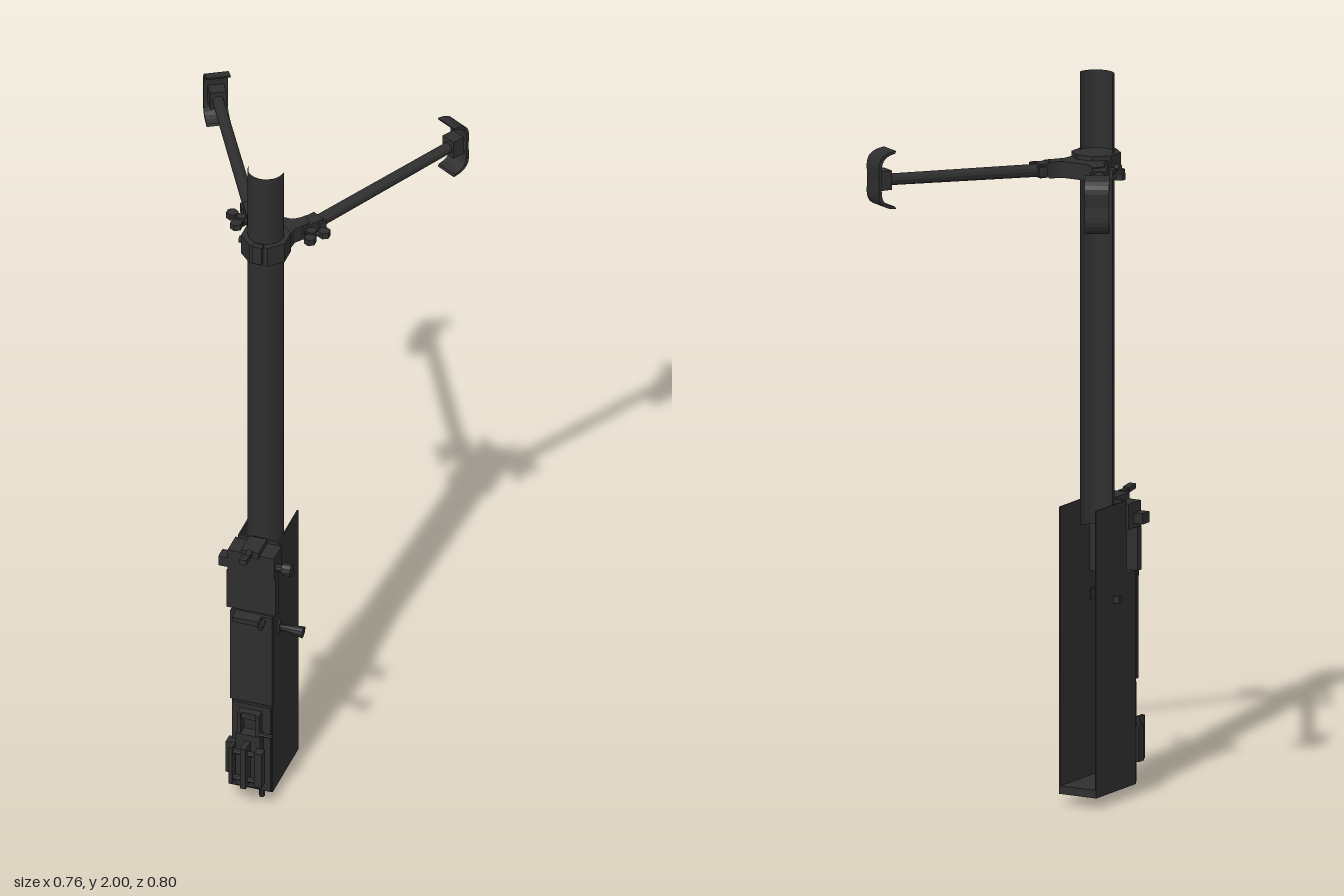
import * as THREE from 'three';

export function createModel() {
  const root = new THREE.Group();
  const dark = new THREE.MeshStandardMaterial({ color: 0x2e2e2e, flatShading: true });
  dark.name = 'dark gunmetal';
  const smooth = new THREE.MeshStandardMaterial({ color: 0x2e2e2e, side: THREE.DoubleSide });
  smooth.name = 'dark tube metal';

  const add = (name, geo, parent = root, mat = dark) => {
    const m = new THREE.Mesh(geo, mat);
    m.name = name;
    parent.add(m);
    return m;
  };
  // Box given by its limits on each axis
  const box = (name, x0, x1, y0, y1, z0, z1, parent = root) => {
    const m = add(name, new THREE.BoxGeometry(x1 - x0, y1 - y0, z1 - z0), parent);
    m.position.set((x0 + x1) / 2, (y0 + y1) / 2, (z0 + z1) / 2);
    return m;
  };
  // Rod between two points, r0 at the start and r1 at the end
  const rod = (name, a, b, r0, r1 = r0, sides = 8, parent = root) => {
    const A = new THREE.Vector3(...a), B = new THREE.Vector3(...b);
    const m = add(name, new THREE.CylinderGeometry(r1, r0, A.distanceTo(B), sides), parent);
    m.position.copy(A).lerp(B, 0.5);
    m.quaternion.setFromUnitVectors(new THREE.Vector3(0, 1, 0), B.sub(A).normalize());
    return m;
  };
  const shapeOf = (pts) => new THREE.Shape(pts.map((p) => new THREE.Vector2(...p)));

  // Half-round tube, open to the back
  const tube = add('halfTube', new THREE.CylinderGeometry(0.05, 0.05, 1.25, 20, 1, true, -Math.PI / 2, Math.PI), root, smooth);
  tube.position.set(0, 1.375, 0.2);

  // Channel body: notched side plates, stepped front wall, floor
  const side = shapeOf([[0.104, 0.03], [0.315, 0.03], [0.315, 0.62], [0.265, 0.62], [0.265, 0.82], [0.104, 0.82]]);
  for (const s of [-1, 1]) {
    const g = new THREE.ExtrudeGeometry(side, { depth: 0.004, bevelEnabled: false });
    g.translate(0, 0, -0.002).rotateY(-Math.PI / 2);
    add('sidePlate', g).position.x = s * 0.056;
  }
  box('frontWall', -0.055, 0.055, 0.03, 0.62, 0.308, 0.315);
  box('upperFrontWall', -0.055, 0.055, 0.62, 0.82, 0.257, 0.264);
  box('notchLedge', -0.055, 0.055, 0.614, 0.62, 0.26, 0.312);
  box('floorPlate', -0.055, 0.055, 0.045, 0.052, 0.106, 0.31);
  box('floorRim', -0.055, 0.055, 0.03, 0.052, 0.104, 0.109);

  // Front cover and its top block
  box('frontCover', -0.06, 0.06, 0.32, 0.61, 0.312, 0.324);
  box('upperCover', -0.07, 0.07, 0.62, 0.74, 0.302, 0.324);
  box('topBlock', -0.066, 0.066, 0.74, 0.81, 0.262, 0.326);
  box('coverRib', -0.045, 0.03, 0.595, 0.61, 0.32, 0.352);
  rod('catchPin', [0.035, 0.6, 0.31], [0.035, 0.59, 0.352], 0.008);

  // Top latch
  box('latchBase', -0.025, 0.025, 0.805, 0.825, 0.265, 0.335);
  box('latchArm', -0.008, 0.008, 0.815, 0.828, 0.33, 0.365);
  box('latchTip', -0.01, 0.01, 0.82, 0.834, 0.36, 0.395).rotation.x = -0.15;

  // Side knobs and cone handle
  rod('leftKnobStem', [0.06, 0.77, 0.307], [0.09, 0.77, 0.307], 0.01);
  rod('leftKnob', [0.085, 0.77, 0.307], [0.11, 0.77, 0.307], 0.019, 0.019, 10);
  box('rightKnob', -0.093, -0.064, 0.752, 0.782, 0.29, 0.325);
  rod('coneHandle', [0.055, 0.55, 0.272], [0.13, 0.545, 0.27], 0.007, 0.017, 10);
  box('handleBoss', 0.05, 0.066, 0.535, 0.565, 0.26, 0.285);
  box('sideStud', -0.075, -0.055, 0.55, 0.57, 0.195, 0.21);

  // Lower front mechanism
  box('lowerMount', -0.055, 0.055, 0.035, 0.31, 0.313, 0.322);
  box('mechanismBlock', -0.035, 0.035, 0.06, 0.23, 0.318, 0.352);
  for (const s of [-1, 1]) box('mechanismRail', s * 0.026 - 0.005, s * 0.026 + 0.005, 0.07, 0.295, 0.318, 0.35);
  box('railBridge', -0.03, 0.03, 0.275, 0.295, 0.318, 0.343);
  box('centrePost', -0.008, 0.008, 0.08, 0.21, 0.35, 0.392);
  box('sidePad', -0.065, -0.035, 0.09, 0.19, 0.316, 0.345);
  for (const y of [0.1, 0.185]) rod('crossPin', [-0.035, y, 0.373], [0.05, y, 0.373], 0.008);
  box('crossGrip', 0.03, 0.052, 0.09, 0.2, 0.36, 0.387);
  box('crossStop', -0.042, -0.032, 0.085, 0.205, 0.36, 0.388);
  rod('sidePin', [0.03, 0.235, 0.345], [0.068, 0.235, 0.345], 0.006);
  rod('bottomPin', [0.022, 0, 0.298], [0.022, 0.05, 0.298], 0.008);

  // Octagonal collar on the tube
  const collar = add('collar', new THREE.CylinderGeometry(0.067, 0.067, 0.06, 8));
  collar.rotation.y = Math.PI / 8;
  collar.position.set(0, 1.755, 0.202);
  box('collarTab', -0.013, 0.013, 1.735, 1.79, 0.258, 0.276);
  rod('collarScrew', [-0.076, 1.75, 0.2], [-0.055, 1.75, 0.2], 0.01);

  // Yoke with a scooped back edge and two horns
  const yoke = shapeOf([[-0.055, -0.2], [0.055, -0.2], [0.06, -0.14], [0.088, -0.1], [0.068, -0.068]]);
  yoke.quadraticCurveTo(0.05, -0.096, 0.03, -0.097);
  yoke.lineTo(-0.03, -0.097);
  yoke.quadraticCurveTo(-0.05, -0.096, -0.068, -0.068);
  yoke.lineTo(-0.088, -0.1);
  yoke.lineTo(-0.06, -0.14);
  const yokeGeo = new THREE.ExtrudeGeometry(yoke, { depth: 0.045, bevelEnabled: false, curveSegments: 6 });
  yokeGeo.rotateX(-Math.PI / 2);
  add('yoke', yokeGeo).position.y = 1.728;

  // Folding arms with curved end pads; local +z runs outward along the arm
  const arc = new THREE.Shape();
  arc.moveTo(-0.05, 0.08);
  arc.bezierCurveTo(0.018, 0.075, 0.002, 0.035, 0.002, 0);
  arc.bezierCurveTo(0.002, -0.035, 0.018, -0.075, -0.05, -0.08);
  arc.lineTo(-0.047, -0.073);
  arc.bezierCurveTo(0.003, -0.066, -0.006, -0.035, -0.006, 0);
  arc.bezierCurveTo(-0.006, 0.035, 0.003, 0.066, -0.047, 0.073);
  for (const s of [-1, 1]) {
    const arm = new THREE.Group();
    arm.name = s > 0 ? 'leftArm' : 'rightArm';
    arm.position.set(s * 0.083, 1.75, 0.08);
    arm.rotation.y = Math.PI - s * 0.52;
    root.add(arm);
    box('hingeBlock', -0.02, 0.02, -0.018, 0.02, -0.04, 0.03, arm);
    box('hingeCheek', -0.026, 0.026, -0.012, 0.014, 0.012, 0.036, arm);
    rod('armTube', [0, 0, 0.02], [0, 0.028, 0.522], 0.018, 0.016, 12, arm);
    box('padBracket', -0.022, 0.022, 0.002, 0.055, 0.49, 0.53, arm);
    const padGeo = new THREE.ExtrudeGeometry(arc, { depth: 0.066, bevelEnabled: false, curveSegments: 8 });
    padGeo.translate(0, 0, -0.033).rotateY(-Math.PI / 2);
    add('endPad', padGeo, arm).position.set(0, 0.03, 0.533);

    // Wing screw beside the hinge
    rod('wingScrewStem', [s * 0.065, 1.75, 0.1], [s * 0.108, 1.75, 0.122], 0.011);
    rod('wingScrewHub', [s * 0.1, 1.738, 0.118], [s * 0.1, 1.765, 0.118], 0.014);
    for (const [x, z] of [[0.131, 0.102], [0.105, 0.144]]) {
      rod('wingScrewLobe', [s * x, 1.742, z], [s * x, 1.76, z], 0.017, 0.017, 6);
      rod('wingScrewNeck', [s * 0.1, 1.751, 0.118], [s * x, 1.751, z], 0.008, 0.008, 6);
    }
  }
  return root;
}
